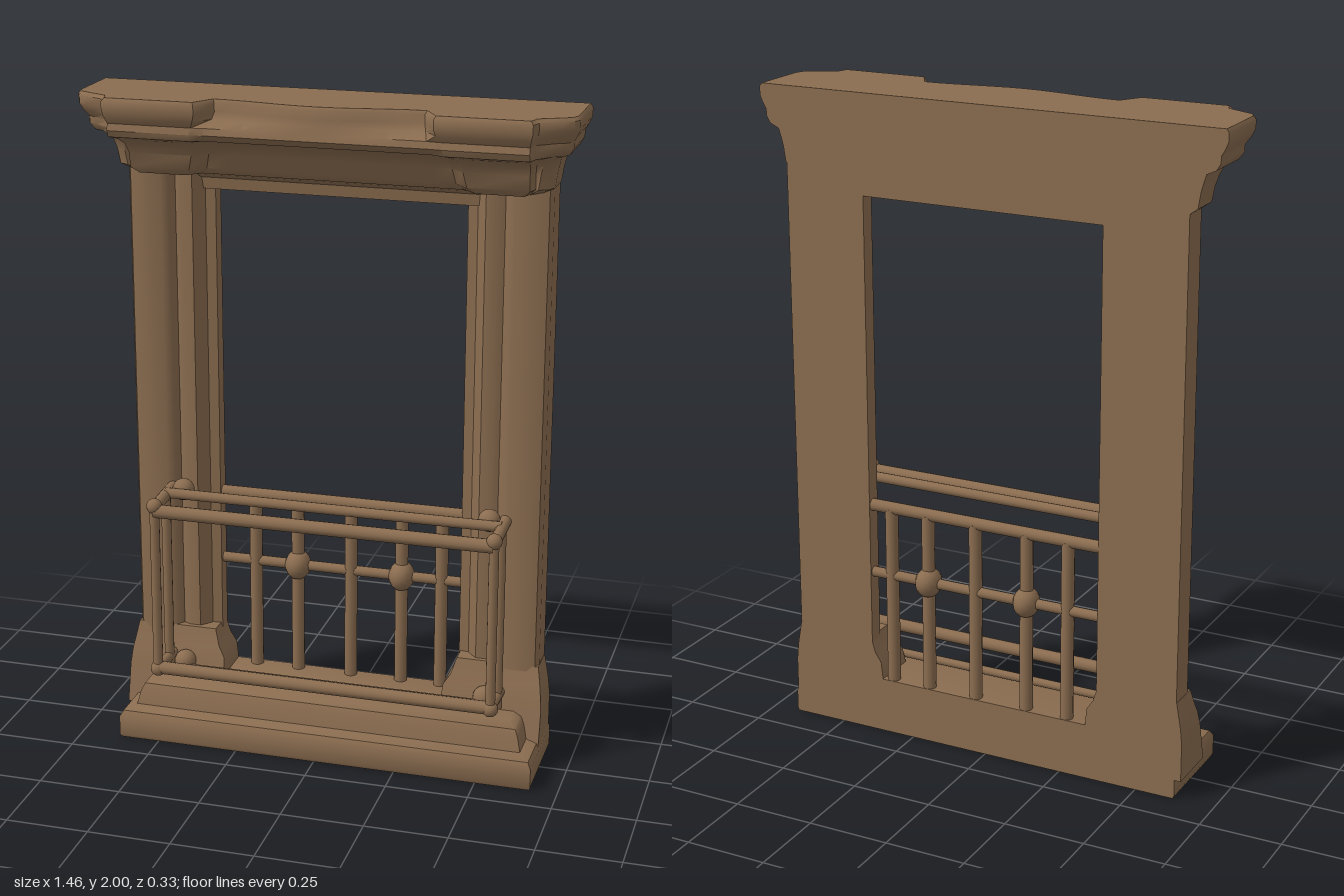
import * as THREE from 'three';
import { toCreasedNormals } from 'three/addons/utils/BufferGeometryUtils.js';

const BACK = -0.143;

// Skin a stack of plan outlines: levels of { y, pts: [[x, z], ...] }, counterclockwise from above
function loft(levels, crease = 0.7) {
  const n = levels[0].pts.length, pos = [], idx = [];
  levels.forEach(({ y, pts }) => pts.forEach(([x, z]) => pos.push(x, y, z)));
  for (let k = 0; k < levels.length - 1; k++) {
    for (let i = 0; i < n; i++) {
      const a = k * n + i, b = k * n + (i + 1) % n;
      idx.push(a, b, b + n, a, b + n, a + n);
    }
  }
  const cap = (level) => THREE.ShapeUtils.triangulateShape(
    level.pts.map(([x, z]) => new THREE.Vector2(x, -z)), []);
  const top = (levels.length - 1) * n;
  cap(levels[0]).forEach(([a, b, c]) => idx.push(a, c, b));
  cap(levels[levels.length - 1]).forEach(([a, b, c]) => idx.push(top + a, top + b, top + c));
  const g = new THREE.BufferGeometry();
  g.setAttribute('position', new THREE.Float32BufferAttribute(pos, 3));
  g.setIndex(idx);
  return toCreasedNormals(g, crease);
}

const rect = (x0, x1, z0, z1) => [[x0, z0], [x0, z1], [x1, z1], [x1, z0]];

// Cornice outline: half width a, side depth zs, corner blocks (bo..bi, zb), centre zc with bow
function cornicePlan([y, a, zs, bo, bi, zb, zc, bow]) {
  const left = [[-a, BACK], [-a, zs], [-a + 0.012, zs + 0.025], [-a + 0.04, zs + 0.04], [-bo - 0.01, zb - 0.035],
    [-bo, zb], [-bi, zb], [-bi + 0.04, zc]];
  const mid = [];
  for (let i = 1; i < 12; i++) {
    const t = i / 12;
    mid.push([(bi - 0.04) * (2 * t - 1), zc + bow * Math.sin(Math.PI * t) ** 2]);
  }
  const right = left.map(([x, z]) => [-x, z]).reverse();
  return { y, pts: [...left, ...mid, ...right] };
}

export function createModel() {
  const model = new THREE.Group();
  const brown = new THREE.MeshStandardMaterial({ color: 0x8b6d50 });
  brown.name = 'warm brown';

  const add = (name, geometry, parent = model) => {
    const m = new THREE.Mesh(geometry, brown);
    m.name = name;
    parent.add(m);
    return m;
  };
  const bar = (name, a, b, r, parent) => {
    const p = new THREE.Vector3(...a), q = new THREE.Vector3(...b);
    const m = add(name, new THREE.CylinderGeometry(r, r, p.distanceTo(q), 12), parent);
    m.position.copy(p).add(q).multiplyScalar(0.5);
    m.quaternion.setFromUnitVectors(new THREE.Vector3(0, 1, 0), q.sub(p).normalize());
    return m;
  };
  const ball = (name, p, r, parent) => {
    const m = add(name, new THREE.SphereGeometry(r, 16, 10), parent);
    m.position.set(...p);
    return m;
  };

  // Stepped base and sill
  add('base', loft([
    [0, 0.643, 0.157], [0.01, 0.647, 0.162], [0.07, 0.647, 0.162], [0.088, 0.637, 0.152],
    [0.098, 0.605, 0.115], [0.14, 0.595, 0.105], [0.162, 0.585, 0.095], [0.175, 0.56, 0.06],
  ].map(([y, w, z]) => ({ y, pts: rect(0.022 - w, 0.022 + w, BACK, z) }))));

  // Moulded pillars and their flared feet
  const section = [[0.38, BACK], [0.38, -0.095], [0.41, -0.09], [0.425, -0.07], [0.44, -0.055], [0.475, -0.055],
    [0.495, -0.065], [0.51, -0.045], [0.53, -0.035], [0.6, -0.035], [0.625, -0.042], [0.635, -0.06], [0.635, BACK]];
  for (const s of [-1, 1]) {
    const shape = new THREE.Shape(section.map(([x, z]) => new THREE.Vector2(s * x + 0.01, -z)));
    const g = new THREE.ExtrudeGeometry(shape, { depth: 1.72, bevelEnabled: false });
    g.rotateX(-Math.PI / 2);
    g.translate(0, 0.08, 0);
    add('pillar', toCreasedNormals(g, 0.7));

    const foot = [[0.06, 0.345, 0.655, 0.03], [0.18, 0.345, 0.655, 0.0], [0.23, 0.35, 0.65, -0.012],
      [0.26, 0.37, 0.645, -0.025], [0.31, 0.385, 0.636, -0.04]];
    add('pillarFoot', loft(foot.map(([y, i, o, z]) => {
      const xs = [s * i + 0.01, s * o + 0.01].sort((p, q) => p - q);
      return { y, pts: rect(xs[0], xs[1], BACK, z) };
    })));
  }

  // Lintel over the opening
  add('lintel', loft([[1.7, -0.085], [1.735, -0.08], [1.75, -0.05], [1.79, -0.03]]
    .map(([y, z]) => ({ y, pts: rect(-0.41, 0.43, BACK, z) }))));

  // Cornice with projecting corner blocks and a bowed centre
  add('cornice', loft([
    [1.755, 0.62, -0.07, 0.57, 0.43, 0.0, -0.04, 0],
    [1.775, 0.648, -0.045, 0.59, 0.41, 0.022, -0.02, 0],
    [1.82, 0.655, -0.04, 0.59, 0.4, 0.03, -0.01, 0],
    [1.85, 0.663, -0.03, 0.595, 0.39, 0.05, 0.02, 0],
    [1.872, 0.67, -0.01, 0.6, 0.385, 0.095, 0.06, 0],
    [1.885, 0.698, 0.02, 0.61, 0.37, 0.14, 0.125, 0],
    [1.905, 0.71, 0.03, 0.61, 0.365, 0.15, 0.145, 0],
    [1.925, 0.71, 0.03, 0.61, 0.36, 0.145, 0.14, 0],
    [1.945, 0.722, 0.045, 0.615, 0.35, 0.158, 0.105, 0.03],
    [1.965, 0.73, 0.055, 0.62, 0.345, 0.163, 0.095, 0.035],
    [1.99, 0.73, 0.055, 0.62, 0.345, 0.163, 0.095, 0.035],
    [2.0, 0.723, 0.05, 0.613, 0.35, 0.155, 0.088, 0.035],
  ].map(cornicePlan)));

  // Projecting balcony rail: front frame, rear rail and side returns
  const rail = new THREE.Group();
  rail.name = 'balconyRail';
  model.add(rail);
  const L = -0.507, R = 0.535, F = 0.122, M = 0.02;
  bar('frontTopRail', [L, 0.75, F], [R, 0.75, F], 0.021, rail);
  bar('frontBottomRail', [L, 0.235, F], [R, 0.235, F], 0.02, rail);
  bar('rearTopRail', [L, 0.772, M], [R, 0.772, M], 0.016, rail);
  bar('rearBottomRail', [L, 0.195, M], [R, 0.195, M], 0.013, rail);
  for (const x of [L, R]) {
    const inner = x + (x < 0 ? 0.045 : -0.045);
    bar('frontPost', [x, 0.22, F], [x, 0.77, F], 0.015, rail);
    bar('rearPost', [x, 0.19, M], [x, 0.775, M], 0.015, rail);
    bar('sideTopRail', [x, 0.76, F], [x, 0.77, -0.05], 0.018, rail);
    bar('sideBottomRail', [x, 0.235, F], [x, 0.225, -0.05], 0.016, rail);
    ball('topCorner', [x, 0.765, F], 0.024, rail);
    ball('bottomCorner', [x, 0.232, F], 0.024, rail);
    ball('wallKnob', [inner, 0.775, -0.015], 0.034, rail);
    ball('footKnob', [inner, 0.21, 0.0], 0.034, rail);
  }

  // Inner balustrade across the opening
  const grille = new THREE.Group();
  grille.name = 'balustrade';
  model.add(grille);
  const Z = -0.122;
  for (const x of [-0.265, -0.13, 0.04, 0.2, 0.325]) bar('baluster', [x, 0.15, Z], [x, 0.74, Z], 0.02, grille);
  bar('middleBar', [-0.39, 0.523, Z], [0.41, 0.523, Z], 0.016, grille);
  bar('topBar', [-0.39, 0.742, Z], [0.41, 0.742, Z], 0.019, grille);
  for (const x of [-0.13, 0.2]) ball('knot', [x, 0.523, Z], 0.047, grille).scale.set(0.85, 1, 1);

  return model;
}
